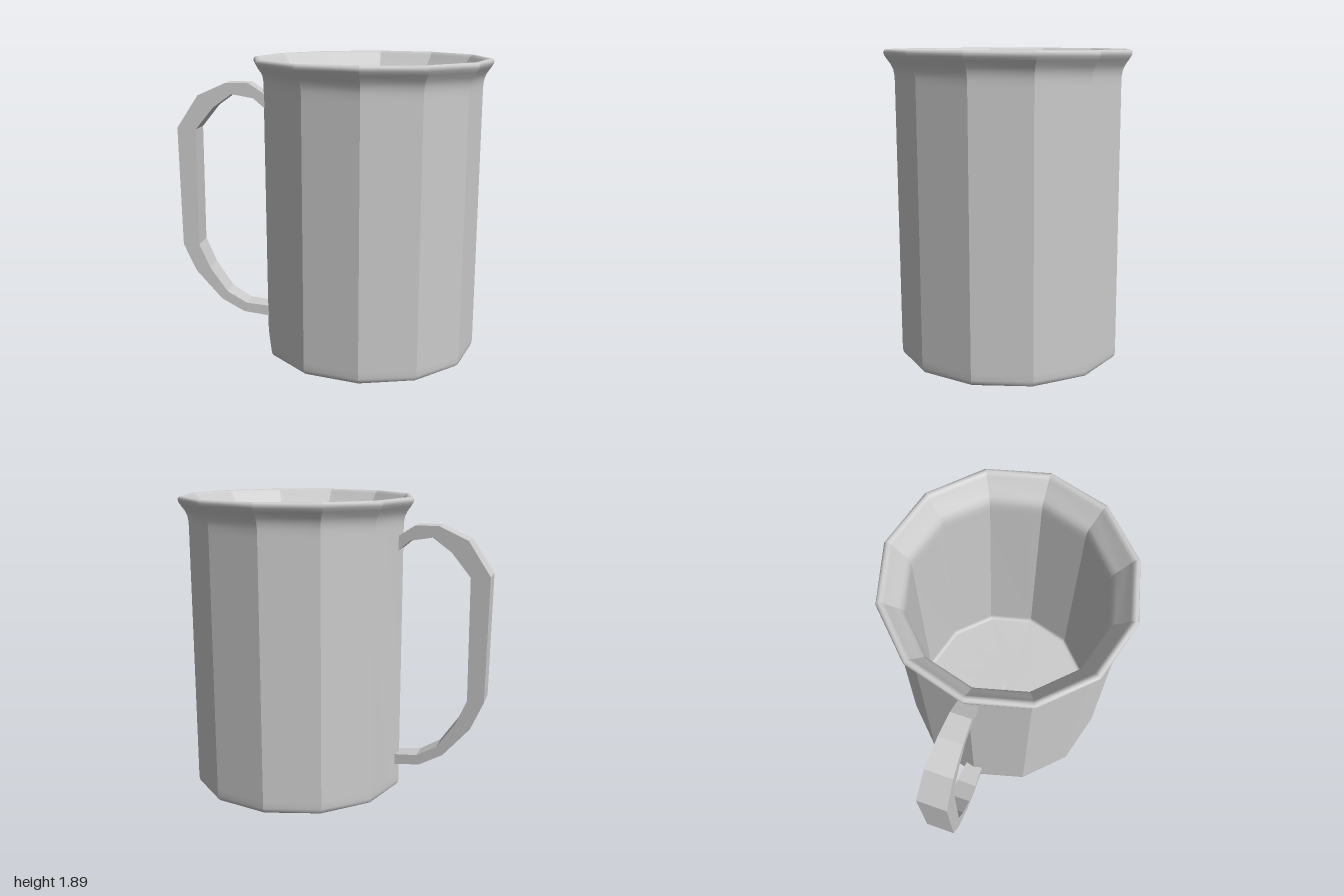
import * as THREE from 'three';
import { mergeGeometries } from 'three/addons/utils/BufferGeometryUtils.js';

const SIDES = 12;

// Faceted around the axis, smooth along the profile: one lathe strip per side.
function facetedLathe(profile) {
  const points = profile.map(([r, y]) => new THREE.Vector2(r, y));
  const step = (Math.PI * 2) / SIDES;
  const strips = [];
  for (let i = 0; i < SIDES; i++) {
    const strip = new THREE.LatheGeometry(points, 1, i * step, step);
    strip.computeVertexNormals();
    strips.push(strip);
  }
  return mergeGeometries(strips);
}

export function createModel() {
  const model = new THREE.Group();
  model.name = 'mug';
  const material = new THREE.MeshStandardMaterial({ color: 0xcccccc, side: THREE.DoubleSide });

  // Cup: underside, outer wall, flared lip, inner wall and floor
  const cup = new THREE.Mesh(facetedLathe([
    [0.008, 0.0], [0.03, 0.0], [0.65, 0.0], [0.668, 0.003], [0.68, 0.014], [0.685, 0.035],
    [0.686, 0.08], [0.69, 1.68], [0.691, 1.73], [0.697, 1.765], [0.71, 1.795], [0.735, 1.83],
    [0.749, 1.852], [0.753, 1.868], [0.747, 1.881], [0.732, 1.886], [0.717, 1.881], [0.704, 1.865],
    [0.67, 1.815], [0.63, 1.77], [0.611, 1.74], [0.604, 1.7], [0.603, 1.64],
    [0.6, 0.13], [0.597, 0.105], [0.588, 0.092], [0.57, 0.09], [0.03, 0.09], [0.008, 0.085],
  ]), material);
  cup.name = 'cup';
  cup.position.x = 0.247;
  model.add(cup);

  // Handle: a faceted loop, its outer edge down and its inner edge back up
  const outer = [
    [-0.4, 1.635], [-0.43, 1.655], [-0.53, 1.72], [-0.68, 1.72], [-0.86, 1.64], [-1, 1.43],
    [-0.99, 0.65], [-0.91, 0.47], [-0.74, 0.275], [-0.59, 0.19], [-0.4, 0.163],
  ];
  const inner = [
    [-0.4, 0.233], [-0.57, 0.25], [-0.7, 0.325], [-0.815, 0.49], [-0.885, 0.65], [-0.88, 1.42],
    [-0.76, 1.565], [-0.64, 1.65], [-0.5, 1.625], [-0.43, 1.565], [-0.4, 1.54],
  ];
  const shape = new THREE.Shape([...outer, ...inner].map(([x, y]) => new THREE.Vector2(x, y)));
  const loop = new THREE.ExtrudeGeometry(shape, { depth: 1, bevelEnabled: false });

  // Widen the loop away from the cup
  const pos = loop.attributes.position;
  for (let i = 0; i < pos.count; i++) {
    const t = (-0.5 - pos.getX(i)) / 0.5;
    pos.setZ(i, pos.getZ(i) > 0.5 ? 0.057 + 0.016 * t : -0.067 - 0.045 * t);
  }
  loop.computeVertexNormals();
  const handle = new THREE.Mesh(loop, material);
  handle.name = 'handle';
  model.add(handle);

  return model;
}
